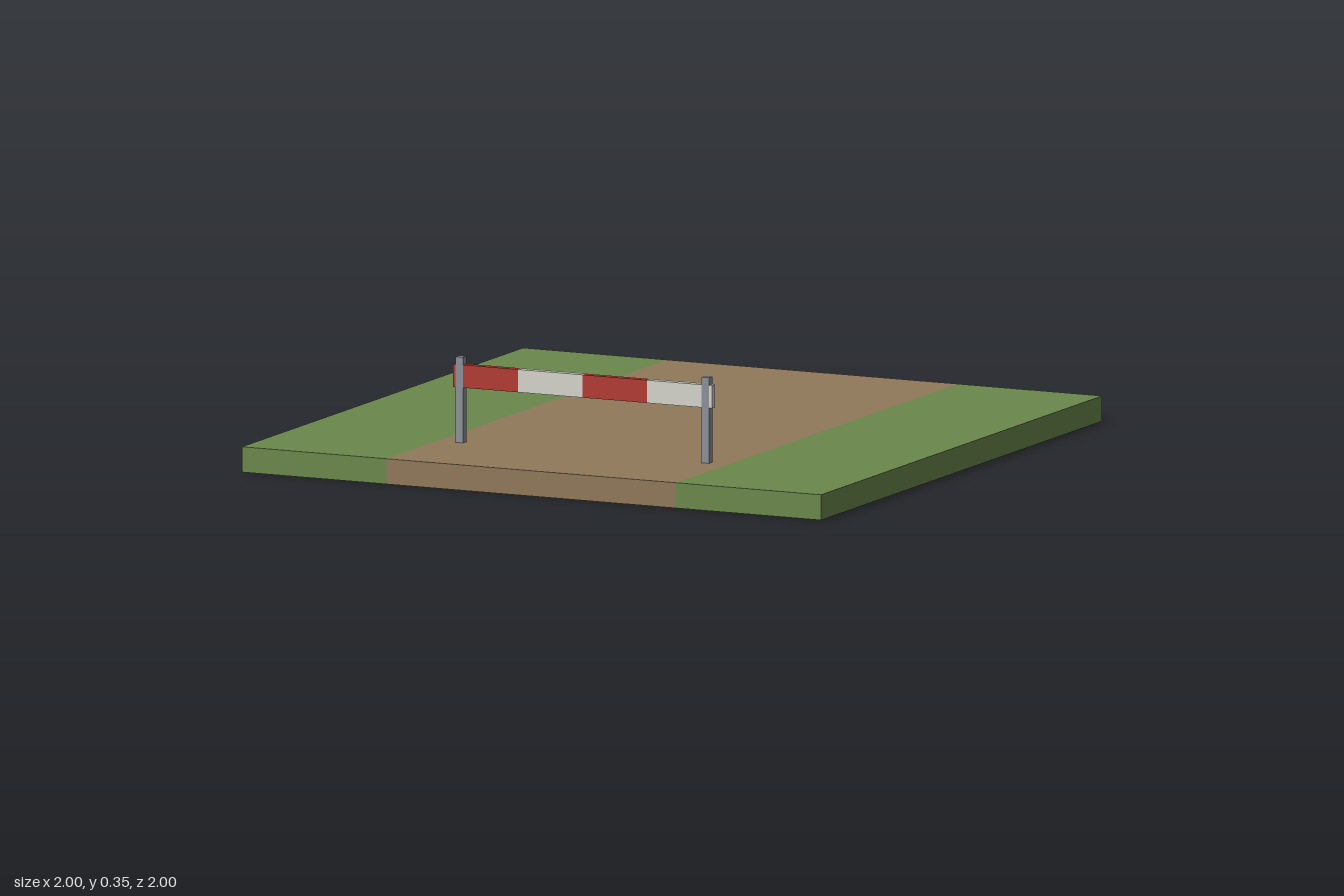
import * as THREE from 'three';

export function createModel() {
  const mat = (name, color, side = THREE.FrontSide) => {
    const m = new THREE.MeshStandardMaterial({ color, side });
    m.name = name;
    return m;
  };
  const grass = mat('grass', 0x6b874c, THREE.DoubleSide);
  const dirt = mat('dirt', 0x91795a, THREE.DoubleSide);
  const red = mat('red', 0xb33a33);
  const white = mat('white', 0xd6d4cc);
  const steel = mat('steel', 0x8d9299);

  const model = new THREE.Group();
  model.name = 'barrierOnTrack';
  const group = (name) => {
    const g = new THREE.Group();
    g.name = name;
    model.add(g);
    return g;
  };
  const add = (parent, name, geometry, material, x, y, z) => {
    const mesh = new THREE.Mesh(geometry, material);
    mesh.name = name;
    mesh.position.set(x, y, z);
    parent.add(mesh);
    return mesh;
  };

  const top = 0.08;

  // Ground: hollow slab, open underneath, in three lengthwise strips
  const ground = group('ground');
  const strip = (name, material, x, width) => {
    add(ground, name + 'Top', new THREE.PlaneGeometry(width, 2).rotateX(-Math.PI / 2), material, x, top, 0);
    for (const s of [1, -1]) {
      const end = new THREE.PlaneGeometry(width, top).rotateY(s > 0 ? 0 : Math.PI);
      add(ground, name + (s > 0 ? 'FrontEdge' : 'BackEdge'), end, material, x, top / 2, s);
    }
  };
  strip('dirtTrack', dirt, 0, 1);
  for (const s of [1, -1]) {
    const name = s > 0 ? 'leftGrass' : 'rightGrass';
    strip(name, grass, s * 0.75, 0.5);
    add(ground, name + 'OuterEdge', new THREE.PlaneGeometry(2, top).rotateY(s * Math.PI / 2), grass, s, top / 2, 0);
  }

  // Barrier: striped board carried by two square posts
  const barrier = group('barrier');
  const z = 0.625, boardWidth = 0.894, segment = boardWidth / 4;
  for (let i = 0; i < 4; i++) {
    add(barrier, 'boardStripe', new THREE.BoxGeometry(segment, 0.072, 0.024),
      i % 2 ? white : red, (i - 1.5) * segment, 0.29, z);
  }
  for (const s of [1, -1]) {
    add(barrier, s > 0 ? 'leftPost' : 'rightPost', new THREE.BoxGeometry(0.025, 0.27, 0.027),
      steel, s * 0.425, top + 0.135, z);
  }
  return model;
}
